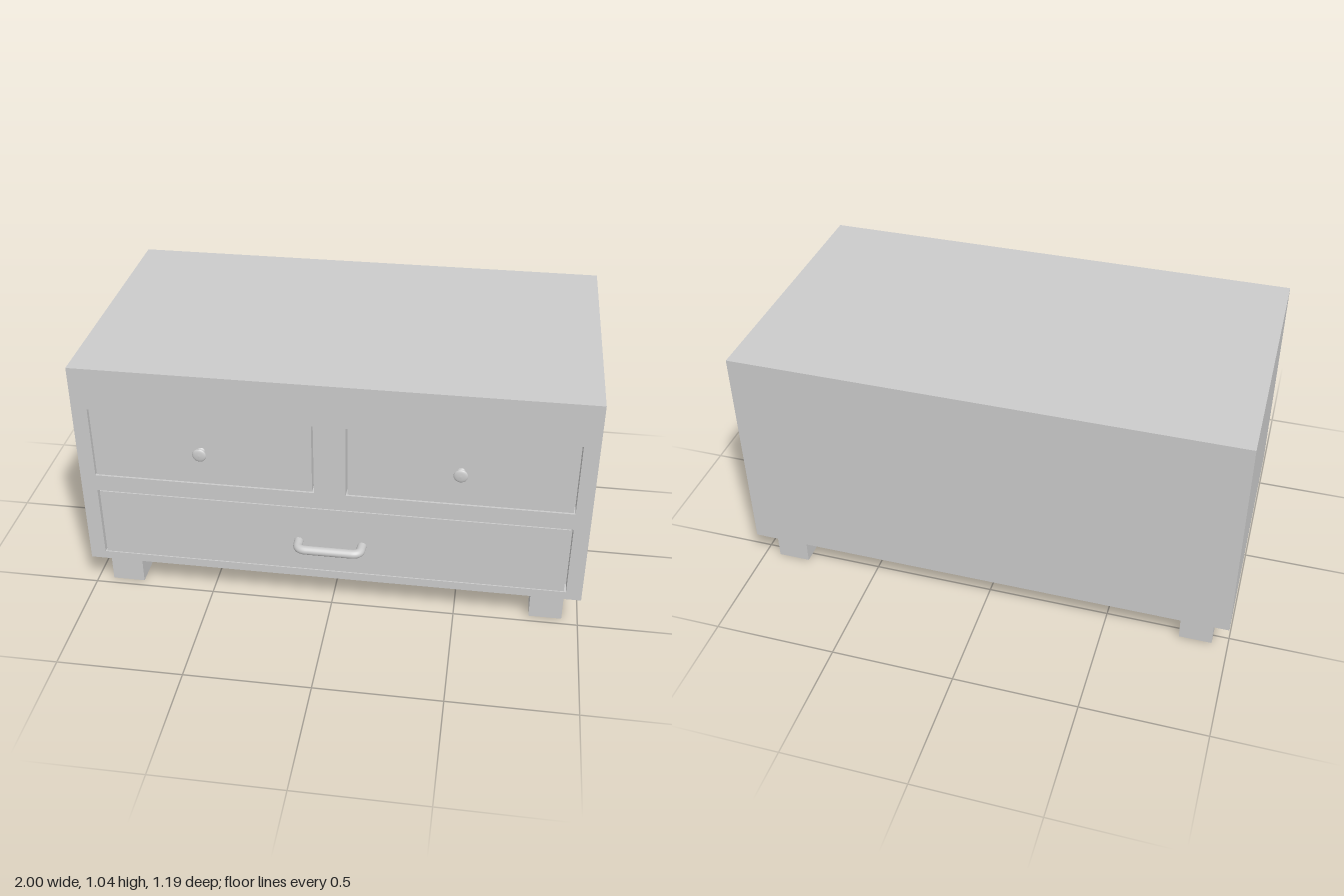
import * as THREE from 'three';

const FRONT = 0.52, BACK = -0.595, BOTTOM = 0.145, TOP = 1.037;
const GROOVE = 0.05; // depth of the gaps around the drawers

function rect(Type, x0, y0, x1, y1) {
  return new Type([[x0, y0], [x1, y0], [x1, y1], [x0, y1]].map(p => new THREE.Vector2(...p)));
}

export function createModel() {
  const group = new THREE.Group();
  const material = new THREE.MeshStandardMaterial({ color: 0xcccccc });

  const add = (name, geometry, x = 0, y = 0, z = 0) => {
    const mesh = new THREE.Mesh(geometry, material);
    mesh.name = name;
    mesh.position.set(x, y, z);
    group.add(mesh);
    return mesh;
  };
  const box = (name, x0, x1, y0, y1, z0, z1) =>
    add(name, new THREE.BoxGeometry(x1 - x0, y1 - y0, z1 - z0),
      (x0 + x1) / 2, (y0 + y1) / 2, (z0 + z1) / 2);

  // Cabinet body behind a front frame with drawer openings
  box('cabinetBody', -1, 1, BOTTOM, TOP, BACK, FRONT - GROOVE);
  const frame = rect(THREE.Shape, -1, BOTTOM, 1, TOP);
  const openings = [
    { name: 'upperRightDrawer', x0: -0.938, x1: -0.062, y0: 0.557, y1: 0.86, gapX: 0.007, gapBottom: 0.006, gapTop: 0 },
    { name: 'upperLeftDrawer', x0: 0.062, x1: 0.938, y0: 0.557, y1: 0.86, gapX: 0.007, gapBottom: 0.006, gapTop: 0 },
    { name: 'lowerDrawer', x0: -0.938, x1: 0.938, y0: 0.18, y1: 0.486, gapX: 0.009, gapBottom: 0.004, gapTop: 0.004 },
  ];
  for (const o of openings) {
    frame.holes.push(rect(THREE.Path, o.x0, o.y0, o.x1, o.y1));
    box(o.name, o.x0 + o.gapX, o.x1 - o.gapX, o.y0 + o.gapBottom, o.y1 - o.gapTop, FRONT - GROOVE, FRONT);
  }
  add('frontFrame', new THREE.ExtrudeGeometry(frame, { depth: GROOVE, bevelEnabled: false }),
    0, 0, FRONT - GROOVE);

  // Four block legs
  for (const side of [-1, 1]) {
    const x = side * 0.87;
    box('frontLeg', x - 0.066, x + 0.066, 0, BOTTOM, 0.323, 0.469);
    box('backLeg', x - 0.066, x + 0.066, 0, BOTTOM, -0.543, -0.396);
  }

  // Round knobs on the upper drawers
  const profile = new THREE.SplineCurve([
    [0.017, 0], [0.014, 0.005], [0.0145, 0.012], [0.02, 0.02],
    [0.0265, 0.025], [0.0265, 0.03], [0.018, 0.034], [0, 0.036],
  ].map(p => new THREE.Vector2(...p))).getPoints(28);
  profile.forEach(p => { p.x = Math.max(p.x, 0); });
  const knob = new THREE.LatheGeometry(profile, 32).rotateX(Math.PI / 2);
  for (const x of [-0.5, 0.5]) add('knob', knob, x, 0.709, FRONT);

  // Bowed pull handle on the lower drawer
  const path = new THREE.CurvePath();
  const v = (x, z) => new THREE.Vector3(x, 0, z);
  path.add(new THREE.LineCurve3(v(-0.127, -0.005), v(-0.125, 0.03)));
  path.add(new THREE.QuadraticBezierCurve3(v(-0.125, 0.03), v(-0.122, 0.056), v(-0.09, 0.056)));
  path.add(new THREE.LineCurve3(v(-0.09, 0.056), v(0.09, 0.056)));
  path.add(new THREE.QuadraticBezierCurve3(v(0.09, 0.056), v(0.122, 0.056), v(0.125, 0.03)));
  path.add(new THREE.LineCurve3(v(0.125, 0.03), v(0.127, -0.005)));
  add('handle', new THREE.TubeGeometry(path, 80, 0.0185, 20), 0, 0.32, FRONT).scale.y = 0.95;

  return group;
}
